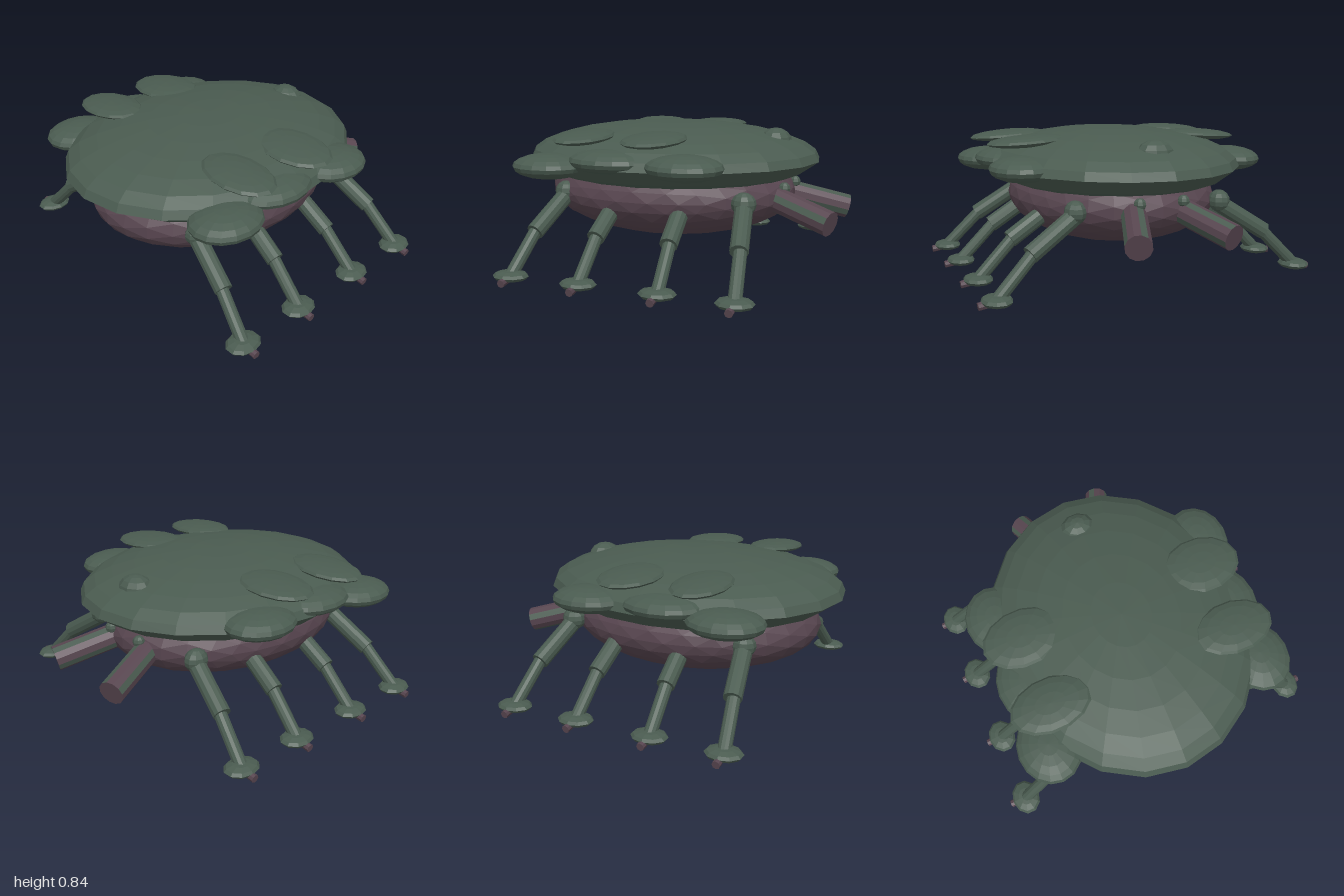
import * as THREE from 'three';

export function createModel() {
  const model = new THREE.Group();
  model.name = 'crawler';

  const green = new THREE.MeshStandardMaterial({ color: 0x4a5b50, flatShading: true });
  green.name = 'dark green';
  const purple = new THREE.MeshStandardMaterial({ color: 0x57454f, flatShading: true });
  purple.name = 'dusky purple';

  function add(parent, name, geometry, material, position = [0, 0, 0]) {
    const mesh = new THREE.Mesh(geometry, material);
    mesh.name = name;
    mesh.position.set(...position);
    parent.add(mesh);
    return mesh;
  }

  const ellipsoid = (rx, ry, rz, w = 14, h = 8) => new THREE.SphereGeometry(1, w, h).scale(rx, ry, rz);

  // Cylinder running from point a to point b
  function rod(parent, name, a, b, radius, material, sides = 12) {
    const from = new THREE.Vector3(...a), to = new THREE.Vector3(...b);
    const dir = to.clone().sub(from);
    const geometry = new THREE.CylinderGeometry(radius, radius, dir.length(), sides);
    const mesh = add(parent, name, geometry, material);
    mesh.position.copy(from).add(to).multiplyScalar(0.5);
    mesh.quaternion.setFromUnitVectors(new THREE.Vector3(0, 1, 0), dir.normalize());
    return mesh;
  }

  // Domed upper shell with a flat underside
  const profile = [[0, 0.495], [0.7, 0.502], [0.87, 0.55], [1, 0.63]];
  for (let i = 1; i <= 7; i++) {
    const t = (i / 7) * Math.PI / 2;
    profile.push([i === 7 ? 0 : Math.cos(t), 0.63 + 0.215 * Math.sin(t)]);
  }
  const shell = new THREE.LatheGeometry(profile.map(p => new THREE.Vector2(...p)), 20);
  add(model, 'shell', shell.scale(0.75, 1, 0.895), green, [0, 0, 0.07]);

  // Faceted belly
  add(model, 'belly', new THREE.IcosahedronGeometry(1, 4).scale(0.605, 0.27, 0.76), purple, [0, 0.44, 0.075]);

  // Small dome at the rear of the shell
  add(model, 'rearDome', ellipsoid(0.11, 0.085, 0.095, 10, 8), green, [0, 0.735, -0.57]);

  // Flank pods: x, y, z, then radii
  const pods = [
    [0.65, 0.625, 0.55, 0.18, 0.072, 0.212],
    [0.61, 0.665, 0.185, 0.19, 0.07, 0.245],
    [0.65, 0.655, -0.255, 0.18, 0.072, 0.215],
  ];
  // Upper plates: z and half length
  const plates = [[0.375, 0.155], [-0.045, 0.172]];
  // Legs: z of hip, knee and foot
  const legs = [[0.565, 0.62, 0.66], [0.225, 0.238, 0.245], [-0.17, -0.19, -0.207], [-0.515, -0.575, -0.615]];

  for (const side of [1, -1]) {
    const half = new THREE.Group();
    half.name = side > 0 ? 'leftSide' : 'rightSide';
    model.add(half);

    for (const [x, y, z, rx, ry, rz] of pods) {
      add(half, 'flankPod', ellipsoid(rx, ry, rz, 16, 10), green, [side * x, y, z]);
    }

    for (const [z, rz] of plates) {
      const plate = add(half, 'upperPlate', ellipsoid(0.235, 0.033, rz), green, [side * 0.555, 0.785, z]);
      plate.rotation.z = -side * 0.06;
    }

    for (const [hip, knee, foot] of legs) {
      const leg = new THREE.Group();
      leg.name = 'leg';
      half.add(leg);
      const at = (x, y, z) => [side * x, y, z];
      add(leg, 'hipJoint', ellipsoid(0.06, 0.065, 0.07, 10, 8), green, at(0.44, 0.445, hip));
      rod(leg, 'upperLeg', at(0.43, 0.435, hip), at(0.71, 0.255, knee), 0.05, green);
      rod(leg, 'lowerLeg', at(0.68, 0.275, knee), at(0.9, 0.05, foot), 0.036, green);
      add(leg, 'footPad', ellipsoid(0.083, 0.031, 0.103, 10, 6), green, at(0.9, 0.05, foot));
      rod(leg, 'toe', at(0.93, 0.04, foot), at(0.997, 0.03, foot), 0.022, purple, 8);
    }

    // Rear tube, streaked in both colours
    const tube = rod(half, 'rearTube', [side * 0.12, 0.445, -0.55], [side * 0.272, 0.335, -0.95], 0.072, [purple, green], 12);
    tube.geometry.clearGroups();
    for (let i = 0; i < 12; i++) tube.geometry.addGroup(i * 6, 6, i % 3 === 1 ? 1 : 0);
    tube.geometry.addGroup(72, 36, 0);
    tube.geometry.addGroup(108, 36, 0);
    add(half, 'tubeJoint', ellipsoid(0.035, 0.035, 0.035, 8, 6), green, [side * 0.13, 0.49, -0.66]);
  }

  return model;
}
